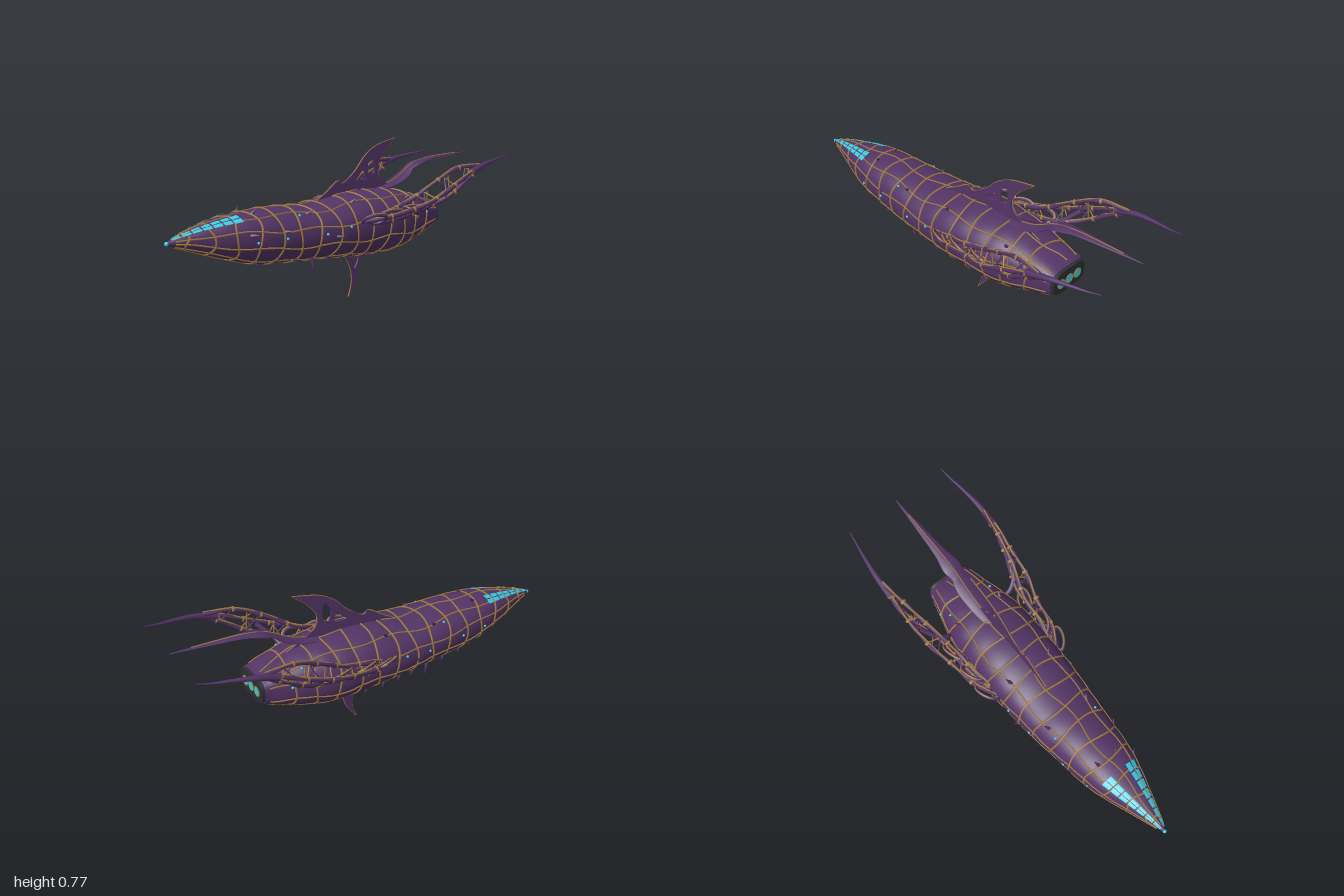
import * as THREE from 'three';
import { ParametricGeometry } from 'three/addons/geometries/ParametricGeometry.js';

const mat = (name, color) => Object.assign(new THREE.MeshStandardMaterial({ color }), { name });
const V = (x, y, z) => new THREE.Vector3(x, y, z);

// Lofted body along x from rows of [x, top, bottom, halfWidth, roundness exponent]
function loft(rows, puff = () => 0) {
  const f = new THREE.CubicInterpolant(rows.map(r => r[0]), rows.flatMap(r => r.slice(1)), 4);
  return (x, a, lift = 0) => {
    const [top, bot, w, e] = f.evaluate(x);
    const k = 1 + puff(x), p = t => Math.sign(t) * Math.pow(Math.abs(t), 2 / e);
    const h = (top - bot) / 2;
    return V(x, (top + bot) / 2 + (h * k + lift) * p(Math.sin(a)), (w * k + lift) * p(Math.cos(a)));
  };
}

// Patch of a lofted surface between two stations and two angles (a0 > a1)
function patch(surf, x0, x1, a0, a1, nu, nv, lift = 0) {
  return new ParametricGeometry((u, v, t) =>
    t.copy(surf(x0 + (x1 - x0) * v, a0 + (a1 - a0) * u, lift)), nu, nv);
}

// Tube whose radius changes along its length
function taperTube(points, radius, segs = 24, sides = 6, closed = false) {
  const curve = new THREE.CatmullRomCurve3(points, closed);
  const g = new THREE.TubeGeometry(curve, segs, 1, sides, closed);
  const pos = g.attributes.position, p = V();
  for (let i = 0; i <= segs; i++) {
    const c = curve.getPointAt(i / segs);
    const r = typeof radius === 'number' ? radius : radius(i / segs);
    for (let j = 0; j <= sides; j++) {
      const k = i * (sides + 1) + j;
      p.fromBufferAttribute(pos, k).sub(c).multiplyScalar(r).add(c);
      pos.setXYZ(k, p.x, p.y, p.z);
    }
  }
  return g;
}

export function createModel() {
  const purple = mat('hullPurple', 0x533465);
  const gold = mat('veinGold', 0xa07a40);
  const cyan = mat('glowCyan', 0x38cce2);
  const dark = mat('engineDark', 0x2e2f2f);
  const root = new THREE.Group();
  root.name = 'organicAirship';
  const add = (name, geo, m, parent = root) => {
    const mesh = new THREE.Mesh(geo, m);
    mesh.name = name;
    parent.add(mesh);
    return mesh;
  };

  // Hull, slightly puffed between its ribs
  const rib0 = -0.9, pitch = 0.107, rad = Math.PI / 180;
  const hull = loft([
    [-0.98, 0.398, 0.380, 0.008, 2], [-0.9, 0.425, 0.357, 0.036, 2.2], [-0.8, 0.450, 0.325, 0.07, 2.4],
    [-0.65, 0.478, 0.280, 0.118, 2.4], [-0.55, 0.488, 0.255, 0.138, 2.3], [-0.4, 0.492, 0.240, 0.155, 2.2],
    [-0.2, 0.488, 0.232, 0.178, 2.2], [-0.05, 0.508, 0.222, 0.189, 2.2], [0.1, 0.525, 0.213, 0.193, 2.2],
    [0.3, 0.522, 0.215, 0.188, 2.2], [0.4, 0.508, 0.235, 0.167, 2.3], [0.5, 0.480, 0.270, 0.14, 2.6],
    [0.57, 0.462, 0.295, 0.122, 3], [0.62, 0.443, 0.320, 0.113, 3.4],
  ], x => 0.016 * Math.abs(Math.sin(Math.PI * (x - rib0) / pitch)));
  add('hull', patch(hull, -0.98, 0.62, 0, -Math.PI * 2, 48, 120), purple);
  add('noseLight', new THREE.SphereGeometry(0.01, 12, 8), cyan).position.set(-0.982, 0.389, 0);

  // Ring ribs and wandering lengthwise veins
  const ribs = new THREE.Group();
  ribs.name = 'ribs';
  root.add(ribs);
  for (let i = 0; i < 14; i++) {
    const pts = [];
    for (let j = 0; j < 32; j++) {
      const a = j * Math.PI / 16;
      pts.push(hull(rib0 + i * pitch + 0.009 * Math.sin(3 * a + i * 2), a, 0.001));
    }
    add('ringRib', taperTube(pts, 0.005, 64, 5, true), gold, ribs);
  }
  [14, 52, 90, 128, 166, 198, 235, 270, 305, 342].forEach((deg, n) => {
    const pts = [];
    for (let i = 0; i <= 36; i++) {
      const x = -0.95 + i * 1.55 / 36;
      pts.push(hull(x, deg * rad + 0.06 * Math.sin(x * 17 + n * 1.9), 0.001));
    }
    add('lengthVein', taperTube(pts, 0.0037, 90, 5), gold, ribs);
  });

  // Cockpit panes following the hull on both sides of the nose
  const panes = new THREE.Group();
  panes.name = 'cockpitWindows';
  root.add(panes);
  for (let i = 0; i < 7; i++) {
    const x0 = -0.965 + i * 0.046;
    for (const [a0, a1] of [[74, 61], [58, 44], [136, 122], [119, 106]])
      add('pane', patch(hull, x0, x0 + 0.039, a0 * rad, a1 * rad, 4, 3, 0.006), cyan, panes);
  }

  // Engine panel with three glowing nozzles
  const outline = k => new THREE.Shape(Array.from({ length: 40 }, (_, i) => {
    const p = hull(0.62, i * Math.PI / 20);
    return new THREE.Vector2(p.z * k, (p.y - 0.3815) * k);
  }));
  const toTail = (mesh, x, y, z) => { mesh.position.set(x, y, z); mesh.rotation.y = Math.PI / 2; };
  toTail(add('sternWall', new THREE.ShapeGeometry(outline(1)), purple), 0.62, 0.3815, 0);
  toTail(add('enginePanel', new THREE.ExtrudeGeometry(outline(0.94), { depth: 0.014, bevelEnabled: false }), dark), 0.62, 0.3815, 0);
  for (const z of [-0.055, 0, 0.055]) {
    toTail(add('engineGlow', new THREE.CircleGeometry(0.0225, 28), cyan), 0.637, 0.38, z);
    toTail(add('engineRing', new THREE.TorusGeometry(0.0235, 0.0025, 6, 28), gold), 0.636, 0.38, z);
  }

  // Fins: curved plate, thinner toward the tip, with openings and gold edges
  function fin(name, lead, trail, holes) {
    const v2 = a => a.map(p => new THREE.Vector2(...p));
    const shape = new THREE.Shape();
    shape.moveTo(...lead[0]);
    shape.splineThru(v2(lead.slice(1)));
    shape.splineThru(v2(trail));
    shape.holes = holes.map(h => new THREE.Path(v2(h)));
    const geo = new THREE.ExtrudeGeometry(shape, { depth: 0.014, bevelEnabled: false, curveSegments: 8 });
    geo.translate(0, 0, -0.007);
    const pos = geo.attributes.position;
    for (let i = 0; i < pos.count; i++)
      pos.setZ(i, pos.getZ(i) * (1.25 - 2.4 * Math.abs(pos.getY(i) - 0.39)));
    geo.computeVertexNormals();
    add(name, geo, purple);
    for (const edge of [lead, [lead[lead.length - 1], ...trail]])
      add(name + 'Edge', taperTube(edge.map(p => V(p[0], p[1], 0)), 0.003, 40, 5), gold);
    for (const h of holes)
      add(name + 'HoleRim', taperTube(h.map(p => V(p[0], p[1], 0)), 0.004, 40, 5, true), purple);
  }
  fin('dorsalFin',
    [[-0.18, 0.47], [-0.08, 0.525], [0.01, 0.58], [0.04, 0.565], [0.125, 0.62], [0.195, 0.69], [0.275, 0.735], [0.41, 0.768]],
    [[0.33, 0.70], [0.287, 0.635], [0.305, 0.57], [0.46, 0.49]],
    [[[0.125, 0.572], [0.15, 0.596], [0.18, 0.625], [0.196, 0.6], [0.196, 0.572]],
      [[0.222, 0.585], [0.212, 0.62], [0.215, 0.655], [0.245, 0.69], [0.258, 0.66], [0.26, 0.605]]]);
  fin('ventralFin',
    [[0.03, 0.235], [0.075, 0.18], [0.1, 0.12], [0.1, 0.06], [0.08, 0.005]],
    [[0.135, 0.08], [0.165, 0.16], [0.23, 0.235]],
    [[[0.1, 0.195], [0.11, 0.165], [0.12, 0.135], [0.142, 0.165], [0.15, 0.198]]]);

  // Flat leaf-shaped tail spike
  const leaf = loft([
    [0.25, 0.525, 0.5, 0.03, 1.4], [0.38, 0.55, 0.522, 0.044, 1.4], [0.48, 0.594, 0.566, 0.046, 1.4],
    [0.52, 0.62, 0.598, 0.034, 1.4], [0.56, 0.640, 0.615, 0.045, 1.4], [0.65, 0.656, 0.638, 0.03, 1.4],
    [0.8, 0.666, 0.652, 0.018, 1.5], [1, 0.672, 0.668, 0.002, 2]]);
  add('tailSpike', patch(leaf, 0.25, 1, 0, -Math.PI * 2, 20, 50), purple);
  for (const a of [90, -90])
    add('tailMidrib', taperTube([0.3, 0.42, 0.54, 0.65, 0.8, 0.9].map(x => leaf(x, a * rad)), 0.003, 30, 5), gold);

  // Lattice wings, one on each side
  for (const s of [1, -1]) {
    const wing = new THREE.Group();
    wing.name = s > 0 ? 'frontWing' : 'backWing';
    root.add(wing);
    const P = a => a.map(p => V(p[0], p[1], p[2] * s));
    const strands = [
      [[0, 0.40, 0.18], [0.1, 0.415, 0.235], [0.25, 0.44, 0.262], [0.36, 0.475, 0.292], [0.5, 0.535, 0.305], [0.62, 0.59, 0.309], [0.71, 0.617, 0.306]],
      [[0, 0.39, 0.16], [0.14, 0.435, 0.2], [0.28, 0.475, 0.212], [0.42, 0.555, 0.25], [0.56, 0.62, 0.28], [0.71, 0.628, 0.302]],
      [[0.02, 0.39, 0.18], [0.15, 0.395, 0.215], [0.36, 0.43, 0.225], [0.5, 0.485, 0.275], [0.6, 0.55, 0.298], [0.71, 0.615, 0.306]],
    ].map(P);
    const curves = strands.map(p => new THREE.CatmullRomCurve3(p));
    strands.forEach((p, n) => {
      add('wingStrand', taperTube(p, t => 0.0115 - 0.002 * t + 0.002 * Math.sin(t * 40 + n), 60, 7), purple, wing);
      add('wingStrandVein', taperTube(p.map((q, i) => V(q.x, q.y + 0.009, q.z + (i % 2 ? 0.004 : -0.004))), 0.0045, 50, 5), gold, wing);
    });
    add('wingTip', taperTube(P([[0.64, 0.598, 0.305], [0.75, 0.63, 0.304], [0.86, 0.648, 0.292], [0.94, 0.658, 0.28], [1, 0.672, 0.272]]),
      t => 0.016 * (1 - t) + 0.002, 30, 8), purple, wing);
    // Strut from the hull flank up to the lattice
    add('wingStrut', taperTube(P([[0.39, 0.39, 0.16], [0.38, 0.415, 0.19], [0.4, 0.45, 0.235], [0.46, 0.51, 0.285]]), 0.012, 20, 7), purple, wing);
    add('wingStrutKnob', new THREE.SphereGeometry(0.017, 12, 8), gold, wing).position.set(0.385, 0.392, 0.168 * s);
    // Cross braces and bindings
    for (let i = 1; i < 11; i++) {
      const t = i / 11;
      curves.forEach((c, n) => {
        const a = c.getPointAt(t), b = curves[(n + 1) % 3].getPointAt(Math.min(1, t + (i % 2 ? 0.06 : -0.04)));
        add('wingBrace', new THREE.TubeGeometry(new THREE.LineCurve3(a, b), 1, 0.0035, 5), i % 2 ? purple : gold, wing);
        if (i % 2 === n % 2) {
          const d = c.getTangentAt(t).multiplyScalar(0.006);
          add('wingBinding', new THREE.TubeGeometry(
            new THREE.LineCurve3(a.clone().sub(d), a.clone().add(d)), 1, 0.0145, 8), gold, wing);
        }
      });
    }
    // Root loops where the wing grows from the hull
    for (const [x, y, z, r] of [[0.035, 0.41, 0.215, 0.055], [0.15, 0.42, 0.21, 0.06], [0.28, 0.43, 0.21, 0.065]]) {
      const loop = Array.from({ length: 8 }, (_, i) => {
        const a = i * Math.PI / 4;
        return [x + r * Math.cos(a), y + 0.025 * Math.sin(a), z + 0.035 * Math.sin(a + 0.6)];
      });
      add('rootLoop', taperTube(P(loop), 0.008, 32, 6, true), purple, wing);
      add('rootLoopVein', taperTube(P(loop.map(p => [p[0] + 0.004, p[1] + 0.007, p[2] + 0.003])), 0.004, 32, 5, true), gold, wing);
    }

    // Hanging barbs [x, angle, length, radius]
    for (const [x, deg, len, r] of [[-0.26, -54, 0.072, 0.013], [-0.56, -65, 0.025, 0.013], [-0.46, -50, 0.03, 0.01],
      [-0.36, -52, 0.035, 0.012], [-0.17, -54, 0.04, 0.013], [-0.09, -54, 0.038, 0.013], [0, -55, 0.036, 0.012], [0.1, -55, 0.03, 0.011]]) {
      const b = hull(x, deg * rad);
      add('barb', taperTube(P([[x - 0.01, b.y + 0.02, b.z - 0.008], [x, b.y - len * 0.4, b.z + 0.002], [x + 0.006, b.y - len, b.z]]),
        t => r * (1 - t) + 0.001, 10, 6), purple);
    }
    // Short side and shoulder thorns
    for (const [x, deg] of [[-0.17, -4], [-0.63, 8], [-0.58, 70], [-0.3, 50], [-0.02, 55], [0.36, 48], [-0.46, 12]]) {
      const a = hull(x, deg * rad, -0.008), b = hull(x + 0.025, deg * rad, 0.018);
      add('thorn', taperTube([a, a.clone().lerp(b, 0.5), b].map(p => V(p.x, p.y, p.z * s)), t => 0.011 * (1 - t) + 0.001, 8, 6), purple);
    }
    // Small hull lights
    for (const [x, deg] of [[-0.6, -4], [-0.45, 0], [-0.23, 2], [-0.09, 8], [0.5, 8], [0.44, 45], [-0.35, 45]])
      add('hullLight', new THREE.SphereGeometry(0.0065, 10, 6), cyan).position.copy(hull(x, deg * rad, 0.002)).multiply(V(1, 1, s));
  }
  return root;
}
